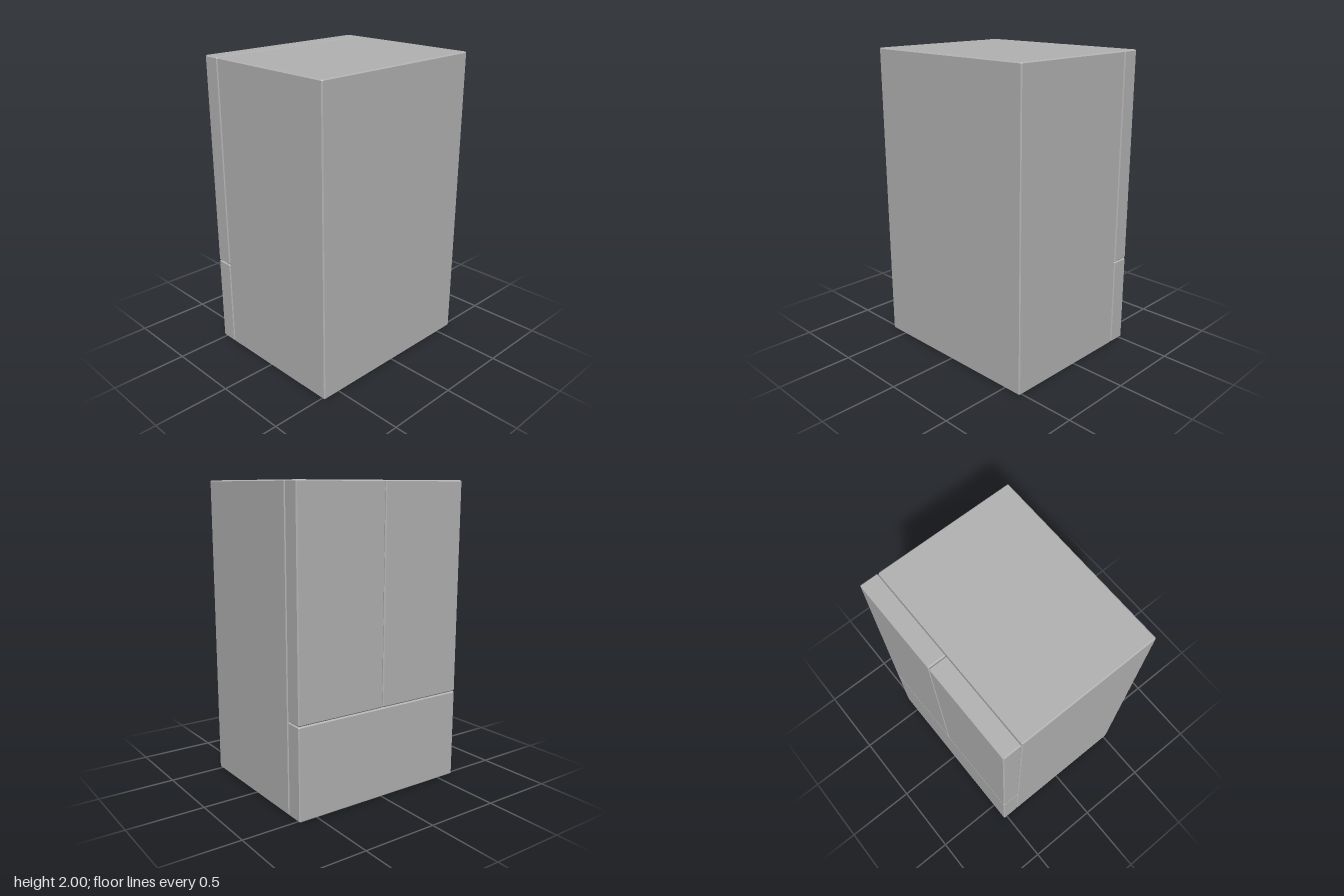
import * as THREE from 'three';
import { ConvexGeometry } from 'three/addons/geometries/ConvexGeometry.js';

const X = 0.525, Z = 0.628, H = 2;   // half width, half depth, height
const SEAM = -0.404;                 // plane where doors meet the cabinet
const SPLIT = 0.6;                   // top of the lower drawer
const GAP = 0.001;                   // half clearance between panels
const BEVEL = 0.007;

// Box between two corners with all edges chamfered
function chamferBox(min, max, b) {
  const points = [];
  for (const x of [0, 1]) for (const y of [0, 1]) for (const z of [0, 1]) {
    const side = [x, y, z];
    for (let flush = 0; flush < 3; flush++) {
      // each corner becomes three points, one lying on each adjoining face
      const p = side.map((s, i) => {
        const inset = i === flush ? 0 : b;
        return s ? max[i] - inset : min[i] + inset;
      });
      points.push(new THREE.Vector3(...p));
    }
  }
  return new ConvexGeometry(points);
}

export function createModel() {
  const group = new THREE.Group();
  group.name = 'refrigerator';
  const grey = new THREE.MeshStandardMaterial({ color: 0xb2b2b2 });
  grey.name = 'grey';

  const add = (name, min, max) => {
    const mesh = new THREE.Mesh(chamferBox(min, max, BEVEL), grey);
    mesh.name = name;
    group.add(mesh);
  };

  // Main cabinet
  add('cabinet', [SEAM + GAP, 0, -Z], [X, H, Z]);

  // Two tall upper doors
  add('upperDoorBack', [-X, SPLIT + GAP, -Z], [SEAM - GAP, H, -GAP]);
  add('upperDoorFront', [-X, SPLIT + GAP, GAP], [SEAM - GAP, H, Z]);

  // Full-width lower drawer
  add('lowerDrawer', [-X, 0, -Z], [SEAM - GAP, SPLIT - GAP, Z]);

  return group;
}
